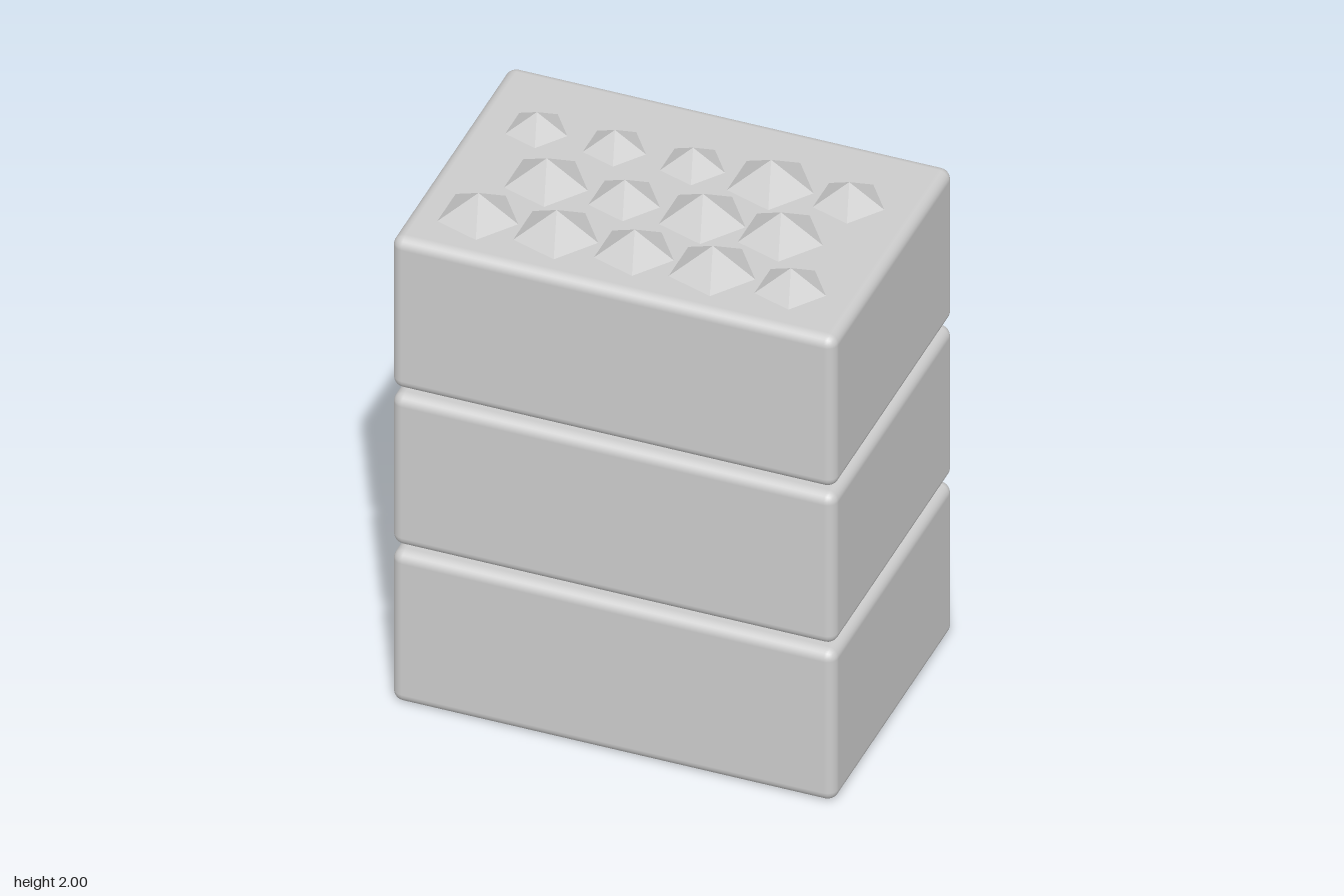
import * as THREE from 'three';
import { RoundedBoxGeometry } from 'three/addons/geometries/RoundedBoxGeometry.js';

const HEIGHT = 0.617; // height of one block
const STEP = 0.643;   // vertical spacing of the stack
const PITCH = 0.2795; // spacing of the studs in a row

// Stud rows: z position, first x, stud radii from -x to +x
const ROWS = [
  { z: -0.22, x: -0.571, radii: [0.109, 0.111, 0.114, 0.152, 0.1255] },
  { z: 0.043, x: -0.431, radii: [0.147, 0.1255, 0.152, 0.149] },
  { z: 0.306, x: -0.571, radii: [0.142, 0.149, 0.14, 0.152, 0.1255] },
];

export function createModel() {
  const model = new THREE.Group();
  model.name = 'blockStack';

  const grey = new THREE.MeshStandardMaterial({ color: 0xcccccc });
  grey.name = 'grey';
  const facetedGrey = grey.clone();
  facetedGrey.name = 'facetedGrey';
  facetedGrey.flatShading = true;

  const blockGeometry = new RoundedBoxGeometry(1.59, HEIGHT, 1.075, 3, 0.04);
  // Five-sided pyramid of radius 1 standing on y = 0, one corner towards +x
  const studGeometry = new THREE.ConeGeometry(1, 0.638, 5, 1)
    .rotateY(Math.PI / 2)
    .translate(0, 0.319, 0);

  for (let i = 0; i < 3; i++) {
    const layer = new THREE.Group();
    layer.name = `layer${i + 1}`;
    layer.position.y = i * STEP;

    // Soft-edged block
    const block = new THREE.Mesh(blockGeometry, grey);
    block.name = 'block';
    block.position.y = HEIGHT / 2;
    layer.add(block);

    // Pointed studs on top of the block
    const studs = new THREE.Group();
    studs.name = 'studs';
    studs.position.y = HEIGHT;
    for (const row of ROWS) {
      row.radii.forEach((radius, k) => {
        const stud = new THREE.Mesh(studGeometry, facetedGrey);
        stud.name = 'stud';
        stud.position.set(row.x + k * PITCH, 0, row.z);
        stud.scale.setScalar(radius);
        studs.add(stud);
      });
    }
    layer.add(studs);
    model.add(layer);
  }
  return model;
}
